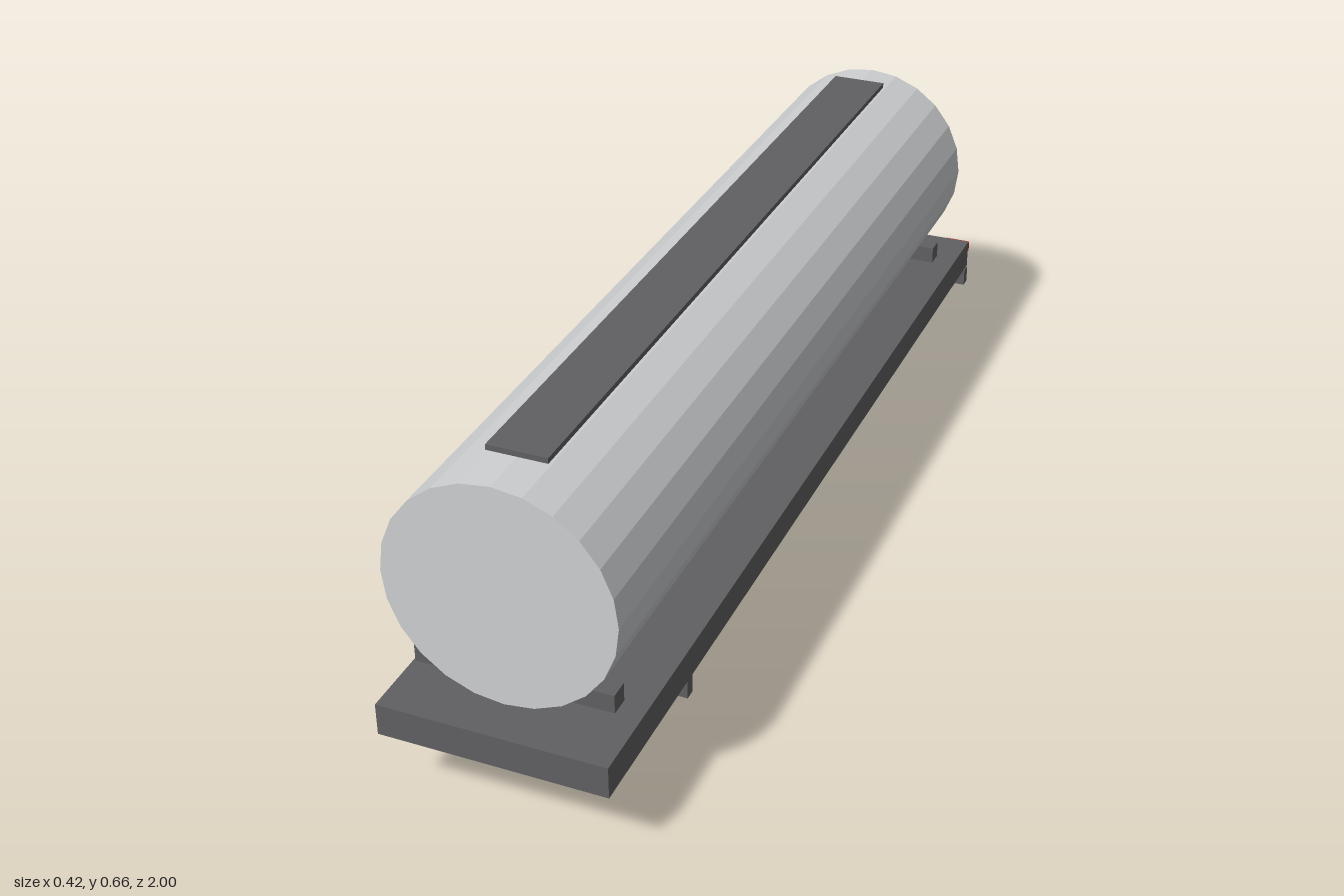
import * as THREE from 'three';

export function createModel() {
  const model = new THREE.Group();
  model.name = 'tankTrailer';

  const material = (name, color) => {
    const m = new THREE.MeshStandardMaterial({ color });
    m.name = name;
    return m;
  };
  const tankGrey = material('tank grey', 0xcdcfd1);
  const frameGrey = material('frame grey', 0x606062);
  const lampRed = material('lamp red', 0xc23030);

  const add = (name, geometry, mat, x, y, z) => {
    const mesh = new THREE.Mesh(geometry, mat);
    mesh.name = name;
    mesh.position.set(x, y, z);
    model.add(mesh);
    return mesh;
  };
  // Box given by centre x, width and its y and z ranges
  const box = (name, mat, x, width, y0, y1, z0, z1) =>
    add(name, new THREE.BoxGeometry(width, y1 - y0, z1 - z0), mat, x, (y0 + y1) / 2, (z0 + z1) / 2);

  // Faceted drum, turned so that an edge runs along the top
  const drum = (radius, length, sides) =>
    new THREE.CylinderGeometry(radius, radius, length, sides).toNonIndexed();

  // Tank barrel with flat ends
  const barrel = drum(0.209, 1.81, 24).rotateX(Math.PI / 2);
  barrel.computeVertexNormals();
  add('tank', barrel, tankGrey, 0, 0.436, 0.04);

  // Walkway along the top
  box('walkway', frameGrey, 0, 0.109, 0.646, 0.656, -0.775, 0.855);

  // Flat deck, coupling plate and rear bumper
  box('deck', frameGrey, 0, 0.418, 0.143, 0.204, -0.99, 1);
  box('couplingPlate', frameGrey, 0, 0.181, 0.133, 0.143, 0.715, 0.93);
  box('rearBumper', frameGrey, 0, 0.418, 0.1, 0.137, -0.995, -0.972);

  // Cross saddles under the tank
  for (const z of [0.893, -0.81]) {
    box('saddle', frameGrey, 0, 0.362, 0.238, 0.273, z - 0.018, z + 0.018);
  }

  // Mirrored landing legs and tail lamps
  for (const side of [-1, 1]) {
    box('landingLeg', frameGrey, side * 0.146, 0.021, 0, 0.143, 0.54, 0.562);
    box('tailLamp', lampRed, side * 0.181, 0.055, 0.178, 0.2, -1, -0.988);
  }

  // Wheel and hub between the tank and the deck
  const tyre = drum(0.083, 0.06, 16).rotateZ(Math.PI / 2);
  tyre.computeVertexNormals();
  add('wheel', tyre, frameGrey, 0, 0.25, 0);
  const hub = drum(0.046, 0.063, 16).rotateZ(Math.PI / 2);
  hub.computeVertexNormals();
  add('wheelHub', hub, tankGrey, 0, 0.25, 0);

  return model;
}
